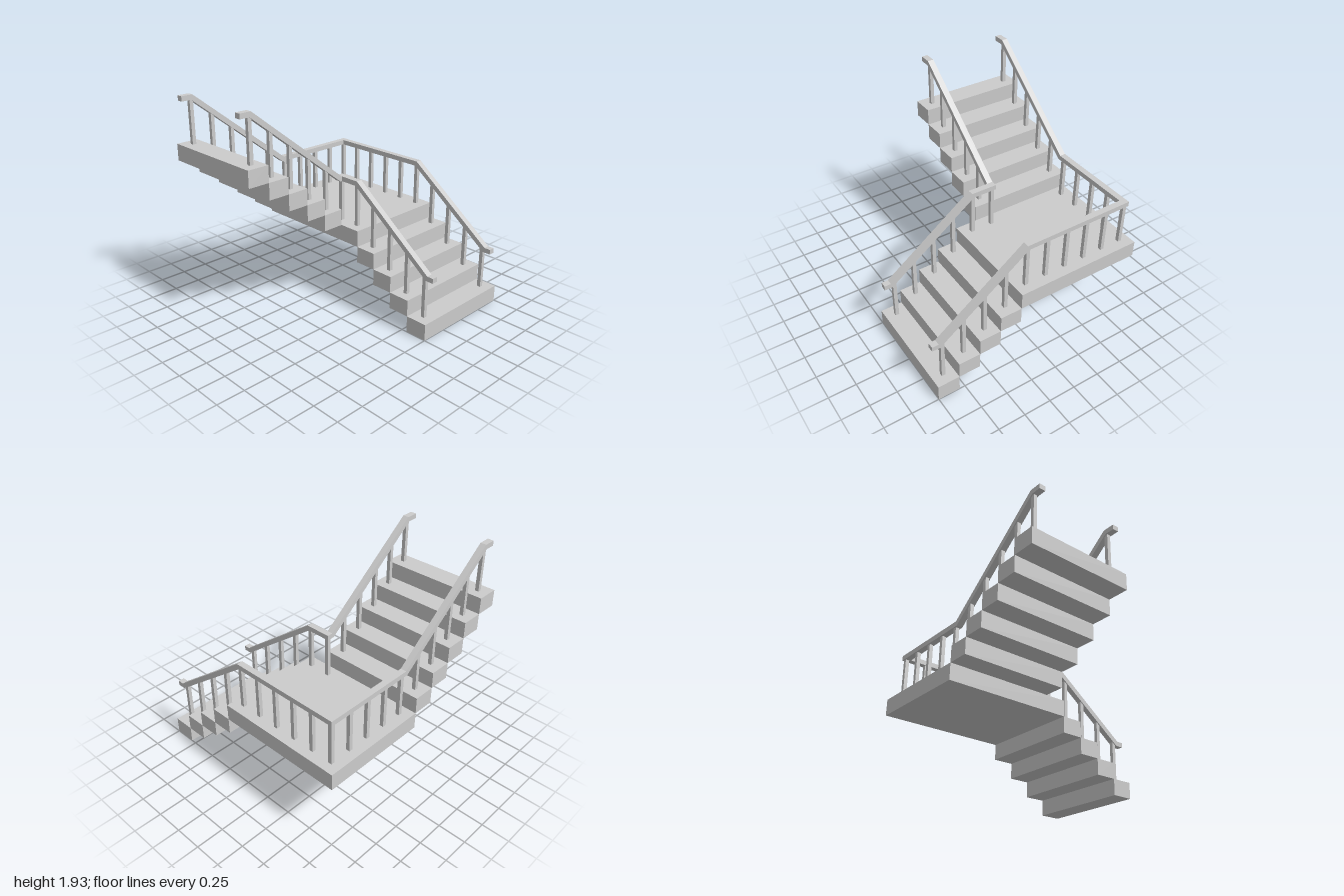
import * as THREE from 'three';

const RISE = 0.15, TREAD = 0.2, LANDING_TOP = 0.75;
const RAIL_W = 0.056, RAIL_H = 0.045, POST = 0.034;
const Y_LOW = 0.5325, Y_MID = 1.1525, Y_HIGH = 1.9125;
const material = new THREE.MeshStandardMaterial({ color: 0xcccccc, flatShading: true });

// Sweeps a rectangular section along a path with mitred bends
function railGeometry(points) {
  const up = new THREE.Vector3(0, 1, 0);
  const dirs = points.slice(1).map((p, i) => p.clone().sub(points[i]).normalize());
  const rings = points.map((p, i) => {
    const d = dirs[Math.max(i - 1, 0)];
    const next = dirs[Math.min(i, dirs.length - 1)];
    const normal = d.clone().add(next);
    const side = d.clone().cross(up).normalize();
    const top = side.clone().cross(d);
    return [[1, -1], [1, 1], [-1, 1], [-1, -1]].map(([a, b]) => {
      const o = side.clone().multiplyScalar(a * RAIL_W / 2).addScaledVector(top, b * RAIL_H / 2);
      return o.addScaledVector(d, -o.dot(normal) / d.dot(normal)).add(p);
    });
  });
  const pos = [];
  const quad = (a, b, c, d) => [a, b, c, a, c, d].forEach(v => pos.push(v.x, v.y, v.z));
  for (let i = 0; i < rings.length - 1; i++) {
    const a = rings[i], b = rings[i + 1];
    for (let j = 0; j < 4; j++) {
      const k = (j + 1) % 4;
      quad(a[j], b[j], b[k], a[k]);
    }
  }
  quad(...rings[0]);
  quad(...rings[rings.length - 1].slice().reverse());
  const geometry = new THREE.BufferGeometry();
  geometry.setAttribute('position', new THREE.Float32BufferAttribute(pos, 3));
  geometry.computeVertexNormals();
  return geometry;
}

export function createModel() {
  const model = new THREE.Group();
  model.name = 'cornerStaircase';

  const add = (name, geometry, parent = model) => {
    const mesh = new THREE.Mesh(geometry, material);
    mesh.name = name;
    parent.add(mesh);
    return mesh;
  };
  const box = (name, x0, x1, y0, y1, z0, z1, parent) =>
    add(name, new THREE.BoxGeometry(x1 - x0, y1 - y0, z1 - z0), parent)
      .position.set((x0 + x1) / 2, (y0 + y1) / 2, (z0 + z1) / 2);

  // Landing and the two flights of solid steps
  box('landing', -1, 0.2, LANDING_TOP - RISE, LANDING_TOP, -1, 0);
  for (let i = 0; i < 4; i++) {
    const x = 0.2 + i * TREAD, top = LANDING_TOP - (i + 1) * RISE;
    box('lowerStep', x, x + TREAD, top - RISE, top, -1, 0);
  }
  for (let i = 0; i < 5; i++) {
    const z = i * TREAD, bottom = LANDING_TOP + i * RISE;
    box('upperStep', -1, 0, bottom, bottom + RISE, z, z + TREAD);
  }

  // Handrails: c is the inset of the corner where the rail turns
  for (const [name, c] of [['outerHandrail', -0.9], ['innerHandrail', -0.1]]) {
    const path = [
      [1, Y_LOW, c], [0.9325, Y_LOW, c], [0.1075, Y_MID, c], [c, Y_MID, c],
      [c, Y_MID, -0.064], [c, Y_HIGH, 0.9], [c, Y_HIGH, 1],
    ].map(p => new THREE.Vector3(...p));
    add(name, railGeometry(path));
  }

  // Balusters run up into the middle of the rail above them
  const balusters = new THREE.Group();
  balusters.name = 'balusters';
  model.add(balusters);
  const post = (x, z, base, top) =>
    box('baluster', x - POST / 2, x + POST / 2, base, top, z - POST / 2, z + POST / 2, balusters);
  const lerp = THREE.MathUtils.mapLinear;

  for (const c of [-0.9, -0.1]) {
    for (let i = 0; i < 5; i++) {
      const t = 0.1 + i * TREAD;
      const lowTop = Math.min(Y_MID, lerp(t, 0.1075, 0.9325, Y_MID, Y_LOW));
      post(t, c, LANDING_TOP - i * RISE, lowTop);
      post(c, t, LANDING_TOP + (i + 1) * RISE, lerp(t, -0.064, 0.9, Y_MID, Y_HIGH));
    }
  }
  for (let i = 0; i < 5; i++) {
    const t = -0.9 + i * TREAD;
    post(t, -0.9, LANDING_TOP, Y_MID);
    if (i > 0) post(-0.9, t, LANDING_TOP, Y_MID);
  }
  post(-0.1, -0.1, LANDING_TOP, Y_MID);

  return model;
}
